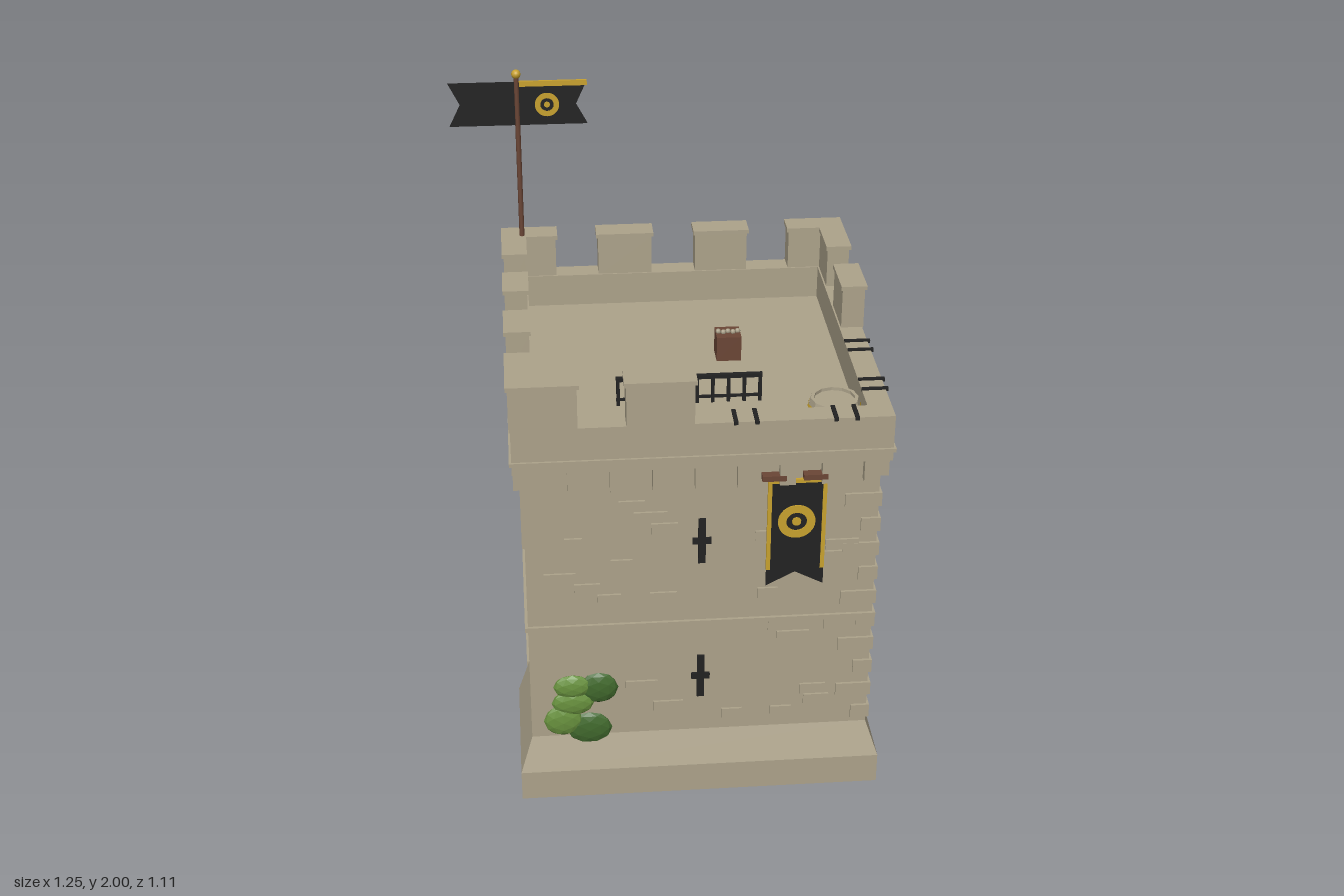
import * as THREE from 'three';

const mat = (name, color) => {
  const m = new THREE.MeshStandardMaterial({ color });
  m.name = name;
  return m;
};

export function createModel() {
  const stone = mat('stone', 0xada38b);
  const black = mat('black cloth and iron', 0x222222);
  const gold = mat('gold', 0xc9a22e);
  const wood = mat('wood', 0x6b4636);
  const leafDark = mat('dark leaf', 0x41692d);
  const leafLight = mat('light leaf', 0x68913e);

  const W = 0.517;    // half width of the walls
  const P = 0.555;    // half width of plinth and parapet
  const T = 0.08;     // wall thickness

  const model = new THREE.Group();
  model.name = 'tower';
  const body = new THREE.Group();
  body.name = 'towerBody';
  body.position.x = 0.07;
  model.add(body);

  const add = (parent, name, geo, material, x = 0, y = 0, z = 0) => {
    const m = new THREE.Mesh(geo, material);
    m.name = name;
    m.position.set(x, y, z);
    parent.add(m);
    return m;
  };
  // Box given by its ranges
  const box = (parent, name, material, x0, x1, y0, y1, z0, z1) =>
    add(parent, name, new THREE.BoxGeometry(x1 - x0, y1 - y0, z1 - z0), material,
      (x0 + x1) / 2, (y0 + y1) / 2, (z0 + z1) / 2);
  const poly = pts => new THREE.Shape(pts.map(p => new THREE.Vector2(...p)));
  const rect = (x0, x1, y0, y1) => poly([[x0, y0], [x1, y0], [x1, y1], [x0, y1]]);
  const extrude = (shape, depth) =>
    new THREE.ExtrudeGeometry(shape, { depth, bevelEnabled: false, curveSegments: 16 });

  // Square ring lying flat, from y0 to y1
  const ring = (name, outer, inner, y0, y1) => {
    const s = rect(-outer, outer, -outer, outer);
    s.holes.push(rect(-inner, inner, -inner, inner));
    add(body, name, extrude(s, y1 - y0).rotateX(-Math.PI / 2), stone, 0, y0, 0);
  };

  // Plain gold roundel that shows on both faces of its cloth
  const roundel = (parent, x, y, z, r, depth) => {
    const s = new THREE.Shape().absarc(0, 0, r, 0, Math.PI * 2);
    s.holes.push(new THREE.Path().absarc(0, 0, r * 0.55, 0, Math.PI * 2));
    add(parent, 'roundel', extrude(s, depth), gold, x, y, z - depth / 2);
    add(parent, 'roundelCentre', new THREE.CylinderGeometry(r * 0.25, r * 0.25, depth, 10)
      .rotateX(Math.PI / 2), gold, x, y, z);
  };

  // Four sides; inside each group +z points outwards
  const side = (name, angle) => {
    const g = new THREE.Group();
    g.name = name;
    g.rotation.y = angle;
    body.add(g);
    return g;
  };
  const front = side('frontSide', 0);
  const left = side('leftSide', Math.PI / 2);
  const back = side('backSide', Math.PI);
  const right = side('rightSide', -Math.PI / 2);

  // Walls with framed openings [x0, x1, y0, y1]
  const wall = (g, half, openings) => {
    const s = rect(-half, half, 0, 1.17);
    for (const [x0, x1, y0, y1] of openings) {
      s.holes.push(rect(x0, x1, y0, y1));
      const f = rect(x0 - 0.025, x1 + 0.025, y0 - 0.025, y1 + 0.025);
      f.holes.push(rect(x0, x1, y0, y1));
      add(g, 'windowFrame', extrude(f, 0.02), stone, 0, 0, W - 0.01);
    }
    add(g, 'wall', extrude(s, T), stone, 0, 0, W - T);
  };
  wall(front, W, []);
  wall(back, W, [[-0.085, 0.125, 0.675, 0.955]]);
  wall(left, W - T, []);
  wall(right, W - T, [[-0.11, 0.11, 0.675, 0.955], [-0.36, -0.21, 0.075, 0.365]]);

  // Floors
  const inner = W - T;
  box(body, 'groundFloor', stone, -inner, inner, 0.06, 0.08, -inner, inner);
  box(body, 'upperFloor', wood, -inner, inner, 0.58, 0.6, -inner, inner);
  box(body, 'roofDeck', stone, -0.5, 0.5, 1.165, 1.2, -0.5, 0.5);

  // Sloped plinth, mitred where it turns a corner
  const plinth = (g, x0, x1, mitre0, mitre1) => {
    const geo = extrude(poly([[W - 0.03, 0], [P, 0], [P, 0.1], [W, 0.21], [W - 0.03, 0.21]]), x1 - x0)
      .rotateY(-Math.PI / 2).translate(x1, 0, 0);
    const p = geo.attributes.position;
    for (let i = 0; i < p.count; i++) {
      if (mitre0 && Math.abs(p.getX(i) - x0) < 1e-4) p.setX(i, -p.getZ(i));
      else if (mitre1 && Math.abs(p.getX(i) - x1) < 1e-4) p.setX(i, p.getZ(i));
    }
    geo.computeVertexNormals();
    add(g, 'plinth', geo, stone);
  };
  plinth(front, -P, P, true, true);
  plinth(left, -P, P, true, true);
  plinth(back, -P, -0.17, true, false);
  plinth(right, 0.12, P, false, true);

  // String courses
  ring('stringCourse', W + 0.009, W - 0.01, 0.605, 0.62);
  box(back, 'lowCourse', stone, -0.17, W, 0.19, 0.205, W - 0.01, W + 0.009);
  box(right, 'lowCourse', stone, -W, -0.385, 0.19, 0.205, W - 0.01, W + 0.009);
  box(right, 'lowCourse', stone, -0.185, 0.12, 0.19, 0.205, W - 0.01, W + 0.009);

  // Parapet, corbels and merlons
  ring('parapet', 0.545, 0.475, 1.16, 1.305);
  ring('parapetLedge', 0.552, 0.5, 1.19, 1.202);
  for (const g of [front, left, back, right])
    for (let i = -4; i <= 4; i++)
      box(g, 'corbel', stone, i * 0.122 - 0.023, i * 0.122 + 0.023, 1.09, 1.165, W - 0.01, 0.543);
  const merlons = [
    [front, [[-0.555, -0.35], [-0.225, -0.02]]],
    [left, [[0.02, 0.19], [0.32, 0.555]]],
    [back, [[-0.555, -0.37], [-0.245, -0.065], [0.065, 0.25], [0.375, 0.555]]],
    [right, [[-0.555, -0.34], [-0.21, -0.07], [0.06, 0.21], [0.34, 0.555]]],
  ];
  for (const [g, spans] of merlons)
    for (const [a, b] of spans) {
      box(g, 'merlon', stone, a + 0.006, b - 0.006, 1.3, 1.432, 0.48, 0.549);
      box(g, 'merlonCap', stone, a, b, 1.432, 1.445, 0.475, P);
    }

  // Iron straps over the low part of the parapet
  const straps = (g, xs) => xs.forEach(x =>
    box(g, 'ironStrap', black, x - 0.006, x + 0.006, 1.3, 1.31, 0.475, 0.553));
  straps(front, [0.09, 0.15, 0.375, 0.435]);
  straps(left, [-0.07, -0.13, -0.32, -0.38]);

  // Raised stones, scattered on a brick grid
  let seed = 11;
  const rnd = () => (seed = (seed * 16807) % 2147483647) / 2147483647;
  for (const g of [front, left]) {
    for (let i = 0; i < 34; i++) {
      const w = 0.05 + rnd() * 0.05;
      const x = -0.42 + rnd() * 0.84;
      const y = 0.25 + Math.floor(rnd() * 20) * 0.04;
      if (Math.abs(x) < 0.09) continue;
      box(g, 'raisedStone', stone, x - w / 2, x + w / 2, y, y + 0.035, W - 0.01, W + 0.007);
    }
  }
  for (let i = 0; i < 10; i++) {
    const a = i % 2 ? 0.1 : 0.05, b = 0.15 - a, y = 0.23 + i * 0.085;
    box(body, 'cornerStone', stone, W - a, W + 0.008, y, y + 0.045, W - b, W + 0.008);
  }

  // Cross-shaped arrow slits
  for (const g of [front, left])
    for (const y of [0.415, 0.9]) {
      box(g, 'arrowSlit', black, -0.011, 0.011, y - 0.075, y + 0.075, W, W + 0.009);
      box(g, 'arrowSlitBar', black, -0.028, 0.028, y - 0.01, y + 0.01, W, W + 0.008);
    }

  // Hanging banners
  const banner = (g, x) => {
    const b = new THREE.Group();
    b.name = 'banner';
    b.position.set(x, 0, W + 0.008);
    g.add(b);
    add(b, 'bannerCloth', extrude(poly([[-0.085, 0.74], [0, 0.785], [0.085, 0.74],
      [0.085, 1.1], [-0.085, 1.1]]), 0.006), black);
    for (const s of [-1, 1])
      box(b, 'bannerTrim', gold, s * 0.08 - 0.006, s * 0.08 + 0.006, 0.795, 1.1, -0.001, 0.008);
    box(b, 'bannerTopTrim', gold, -0.085, 0.085, 1.09, 1.102, -0.001, 0.008);
    for (const rx of [-0.07, 0.05])
      box(b, 'bannerBracket', wood, rx - 0.035, rx + 0.035, 1.105, 1.122, -0.008, 0.02);
    roundel(b, 0, 0.96, 0.006, 0.055, 0.008);
  };
  banner(front, 0.275);
  banner(left, -0.275);

  // Ivy clumps: x, y, half width, half height, material
  const ivy = (g, list) => list.forEach(([x, y, w, h, m]) => {
    const geo = new THREE.IcosahedronGeometry(1, 1).scale(w, h, 0.018);
    geo.computeVertexNormals();
    add(g, 'ivyClump', geo, m, x, y, W + (m === leafLight ? 0.004 : 0));
  });
  ivy(front, [
    [-0.31, 0.385, 0.06, 0.055, leafDark], [-0.34, 0.235, 0.07, 0.058, leafDark],
    [-0.39, 0.395, 0.058, 0.042, leafLight], [-0.39, 0.335, 0.065, 0.045, leafLight],
    [-0.42, 0.27, 0.06, 0.055, leafLight],
  ]);
  ivy(left, [
    [0.2, 0.49, 0.056, 0.056, leafDark], [0.235, 0.41, 0.06, 0.066, leafDark],
    [0.39, 0.345, 0.05, 0.04, leafDark], [0.205, 0.235, 0.077, 0.06, leafDark],
    [0.375, 0.445, 0.075, 0.056, leafLight],
  ]);

  // Crate with a coil of rope
  box(model, 'crate', wood, 0.167, 0.243, 1.2, 1.28, -0.11, -0.034);
  for (let i = 0; i < 5; i++)
    add(model, 'ropeKnot', new THREE.SphereGeometry(0.009, 6, 4), stone,
      0.175 + i * 0.015, 1.284, -0.072 + (i % 2) * 0.006);

  // Iron railing
  box(model, 'railTop', black, -0.16, 0.275, 1.28, 1.292, 0.218, 0.232);
  box(model, 'railBottom', black, -0.16, 0.275, 1.215, 1.222, 0.221, 0.229);
  for (let i = 0; i <= 9; i++) {
    const x = -0.154 + i * 0.047;
    box(model, 'railBar', black, x - 0.005, x + 0.005, 1.2, 1.285, 0.22, 0.23);
  }

  // Barrel
  const barrelProfile = [[0, 1.2], [0.07, 1.2], [0.08, 1.245], [0.07, 1.29], [0.06, 1.29],
    [0.06, 1.28], [0, 1.28]].map(p => new THREE.Vector2(...p));
  const barrelGeo = new THREE.LatheGeometry(barrelProfile, 12).toNonIndexed();
  barrelGeo.computeVertexNormals();
  add(model, 'barrel', barrelGeo, stone, 0.465, 0, 0.39);
  add(model, 'barrelHoop', new THREE.CylinderGeometry(0.0765, 0.079, 0.008, 12, 1, true),
    gold, 0.465, 1.268, 0.39);

  // Flagpole and double-tailed flag
  const fx = -0.418, fz = -0.49;
  add(model, 'flagPole', new THREE.CylinderGeometry(0.008, 0.008, 0.775, 8), wood, fx, 1.5875, fz);
  add(model, 'flagFinial', new THREE.IcosahedronGeometry(0.015, 1), gold, fx, 1.985, fz);
  add(model, 'flagCloth', extrude(poly([[-0.63, 1.82], [-0.2, 1.82], [-0.235, 1.885], [-0.2, 1.96],
    [-0.63, 1.96], [-0.595, 1.89]]), 0.004), black, 0, 0, fz - 0.002);
  box(model, 'flagTrim', gold, -0.41, -0.2, 1.945, 1.962, fz - 0.004, fz + 0.004);
  roundel(model, -0.325, 1.885, fz, 0.038, 0.008);

  return model;
}
